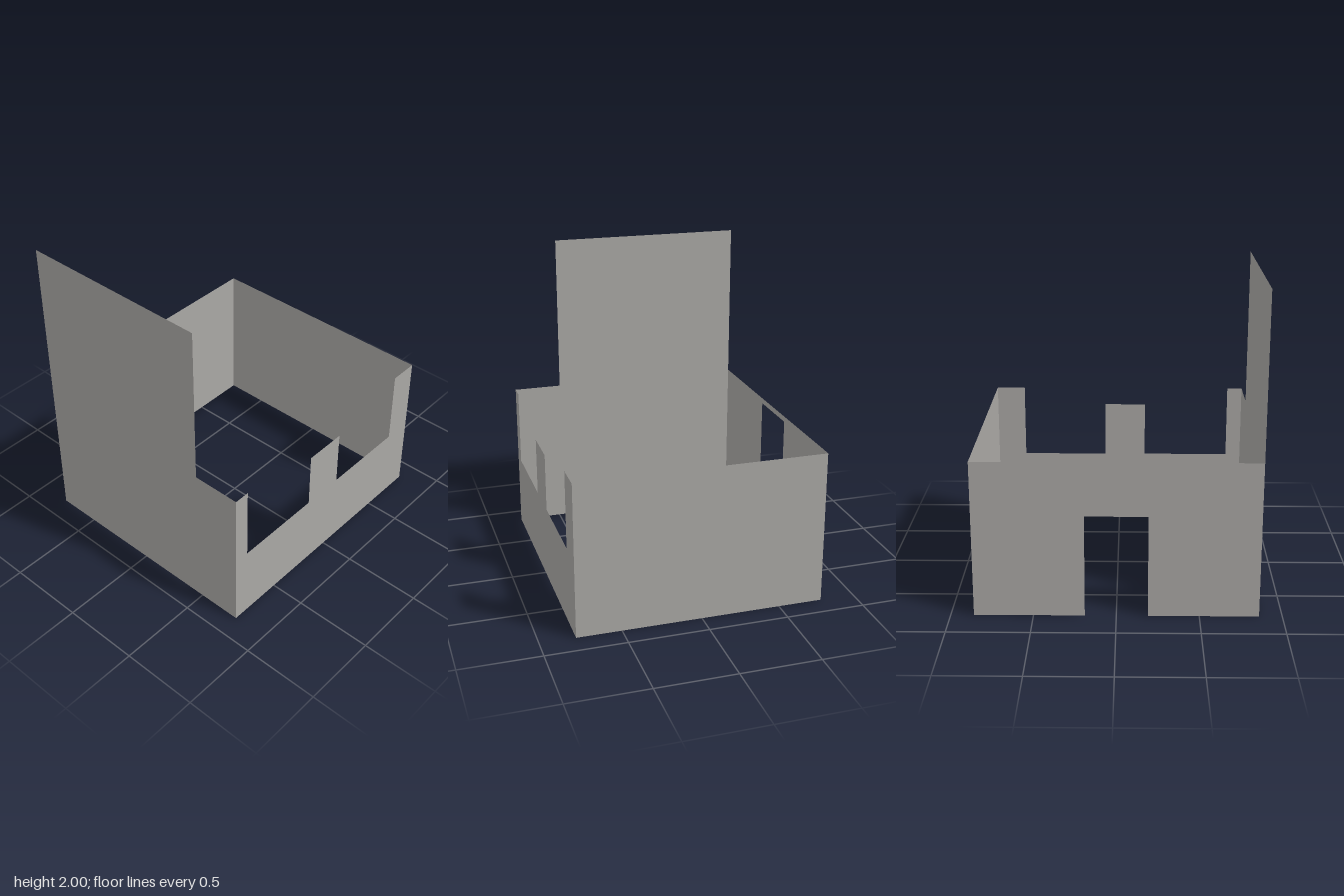
import * as THREE from 'three';

const W = 0.78, D = 0.86, H = 0.98; // half width, half depth, wall height

export function createModel() {
  const model = new THREE.Group();
  const plaster = new THREE.MeshStandardMaterial({ color: 0xaaa8a5, side: THREE.DoubleSide });
  plaster.name = 'greyPlaster';

  // Paper-thin wall from a flat outline, turned about y and moved into place
  const wall = (name, outline, turn, x, z) => {
    const shape = new THREE.Shape(outline.map(([a, b]) => new THREE.Vector2(a, b)));
    const mesh = new THREE.Mesh(new THREE.ShapeGeometry(shape), plaster);
    mesh.name = name;
    mesh.rotation.y = turn;
    mesh.position.set(x, 0, z);
    model.add(mesh);
  };

  // Tall front wall, stepped down on the +x side
  wall('frontWall', [[-W, 0], [W, 0], [W, H], [0.47, H], [0.47, 2], [-W, 2]], 0, 0, D);

  // Plain back wall
  wall('backWall', [[-W, 0], [W, 0], [W, H], [-W, H]], Math.PI, 0, -D);

  // Side wall with two open window bays and a post between (outline runs along -z)
  wall('windowWall', [
    [-D, 0], [D, 0], [D, H], [0.67, H], [0.67, 0.49], [0.1, 0.49], [0.1, 0.86],
    [-0.18, 0.86], [-0.18, 0.49], [-0.76, 0.49], [-0.76, H], [-D, H],
  ], Math.PI / 2, W, 0);

  // Side wall with a doorway (outline runs along +z)
  wall('doorWall', [
    [-D, 0], [-0.19, 0], [-0.19, 0.945], [0.19, 0.945], [0.19, 0], [D, 0], [D, H], [-D, H],
  ], -Math.PI / 2, -W, 0);

  return model;
}
